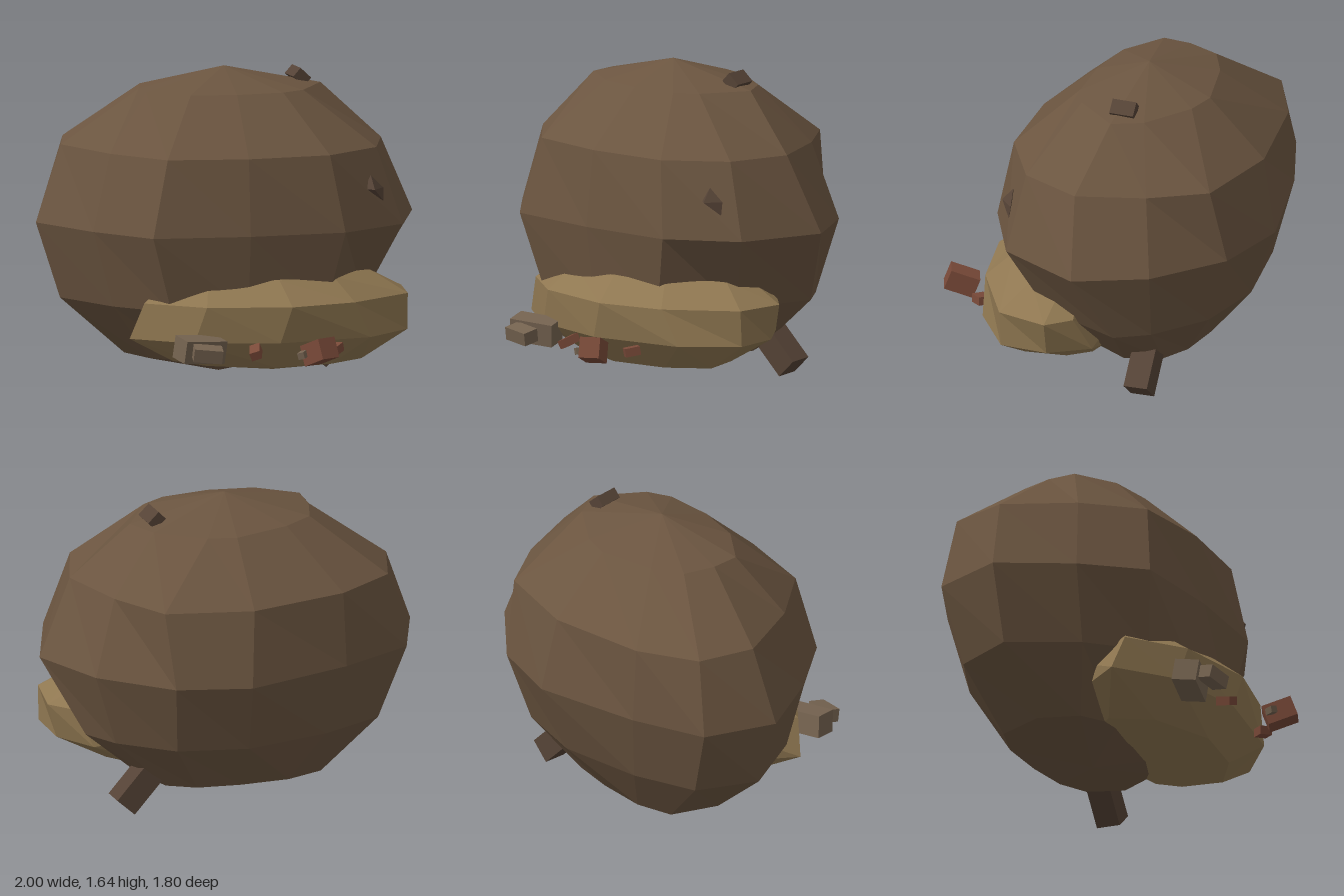
import * as THREE from 'three';

const material = (color) => new THREE.MeshStandardMaterial({ color, flatShading: true, roughness: 1 });
const bark = material(0x6b5540);
const darkStone = material(0x554336);
const tan = material(0x8f7751);
const clay = material(0x7a4a39);
const greyBrown = material(0x756350);

// Faceted rock from two apexes and stacked rings of [x, z] corners, top to bottom
function rock(name, top, rings, bottom, mat) {
  const pos = [];
  const tri = (...pts) => pts.forEach((p) => pos.push(...p));
  const loops = rings.map(([y, pts]) => pts.map(([x, z]) => [x, y, z]));
  const n = loops[0].length;
  const last = loops[loops.length - 1];
  for (let j = 0; j < n; j++) {
    const k = (j + 1) % n;
    tri(top, loops[0][k], loops[0][j]);
    for (let i = 0; i < loops.length - 1; i++) {
      const [u, d] = [loops[i], loops[i + 1]];
      tri(u[j], u[k], d[j]);
      tri(u[k], d[k], d[j]);
    }
    tri(last[j], last[k], bottom);
  }
  const geo = new THREE.BufferGeometry();
  geo.setAttribute('position', new THREE.Float32BufferAttribute(pos, 3));
  geo.computeVertexNormals();
  const mesh = new THREE.Mesh(geo, mat);
  mesh.name = name;
  return mesh;
}

// Tilted loose block
function block(name, size, position, rotation, mat) {
  const mesh = new THREE.Mesh(new THREE.BoxGeometry(...size), mat);
  mesh.position.set(...position);
  mesh.rotation.set(...rotation);
  mesh.name = name;
  return mesh;
}

export function createModel() {
  const group = new THREE.Group();
  group.name = 'boulder';

  // Large twelve-sided boulder
  group.add(rock('boulderBody', [-0.01, 1.63, -0.14], [
    [1.52, [[0.51, -0.18], [0.37, 0.06], [0.25, 0.13], [0, 0.16], [-0.24, 0.13], [-0.45, 0],
      [-0.46, -0.15], [-0.42, -0.32], [-0.27, -0.42], [0.02, -0.51], [0.17, -0.48], [0.42, -0.33]]],
    [1.23, [[0.82, -0.13], [0.73, 0.2], [0.44, 0.42], [0, 0.47], [-0.42, 0.42], [-0.67, 0.15],
      [-0.86, -0.21], [-0.79, -0.51], [-0.5, -0.7], [0.01, -0.82], [0.47, -0.74], [0.67, -0.47]]],
    [0.83, [[1, -0.2], [0.86, 0.25], [0.51, 0.48], [0, 0.52], [-0.51, 0.49], [-0.77, 0.2],
      [-1, -0.17], [-0.88, -0.55], [-0.51, -0.73], [0.04, -0.9], [0.43, -0.82], [0.79, -0.55]]],
    [0.43, [[0.79, -0.34], [0.68, 0.1], [0.42, 0.42], [0, 0.46], [-0.4, 0.42], [-0.66, 0.17],
      [-0.87, -0.18], [-0.74, -0.5], [-0.42, -0.65], [0.02, -0.75], [0.39, -0.69], [0.67, -0.5]]],
    [0.13, [[0.47, -0.24], [0.38, 0], [0.24, 0.13], [0, 0.16], [-0.25, 0.14], [-0.44, 0.03],
      [-0.53, -0.18], [-0.45, -0.43], [-0.26, -0.5], [0, -0.51], [0.23, -0.49], [0.38, -0.42]]],
  ], [-0.04, 0.03, -0.13], bark));

  // Flatter tan rock pushed out at the front base
  group.add(rock('baseLedge', [0.2, 0.64, 0.15], [
    [0.59, [[0.69, 0.19], [0.46, 0.41], [0.16, 0.48], [-0.2, 0.4], [-0.38, 0.28],
      [-0.3, 0], [0.1, -0.1], [0.5, -0.1], [0.62, -0.06], [0.67, 0.02]]],
    [0.47, [[0.88, 0.28], [0.55, 0.53], [0.2, 0.63], [-0.24, 0.56], [-0.53, 0.35],
      [-0.4, -0.05], [0.1, -0.15], [0.5, -0.12], [0.78, -0.1], [0.9, 0.01]]],
    [0.28, [[0.88, 0.27], [0.64, 0.5], [0.14, 0.61], [-0.3, 0.53], [-0.6, 0.31],
      [-0.42, 0], [0.1, -0.12], [0.5, -0.14], [0.7, -0.17], [0.85, 0.02]]],
    [0.13, [[0.64, 0.25], [0.45, 0.4], [0.14, 0.46], [-0.2, 0.34], [-0.34, 0.14],
      [-0.26, 0.02], [0.1, -0.08], [0.36, -0.08], [0.48, -0.06], [0.58, 0.04]]],
  ], [0.18, 0.08, 0.2], tan));

  // Stones stuck in the surface
  group.add(block('topStone', [0.08, 0.06, 0.13], [0.395, 1.555, -0.2], [0, 0.15, -0.75], darkStone));
  group.add(block('lowerSideStone', [0.13, 0.24, 0.13], [0.53, 0.13, -0.385], [0.05, 0.1, 0.75], darkStone));
  group.add(rock('sideSpike', [0.68, 1.1, 0.3], [
    [1.03, [[0.75, 0.28], [0.69, 0.36], [0.64, 0.32]]],
  ], [0.75, 0.96, 0.29], darkStone));

  // Loose rubble in front
  const rubble = [
    ['largeChip', [0.24, 0.12, 0.13], [-0.285, 0.26, 0.6], [0.15, 0.3, -0.12], greyBrown],
    ['flatChip', [0.15, 0.07, 0.09], [-0.27, 0.255, 0.725], [0.2, -0.1, -0.08], greyBrown],
    ['smallClayChip', [0.055, 0.045, 0.1], [0, 0.245, 0.65], [0.3, -0.2, 0.4], clay],
    ['largeClayChip', [0.11, 0.11, 0.16], [0.31, 0.26, 0.79], [-0.4, 0.45, 0.2], clay],
    ['sideClayChip', [0.065, 0.045, 0.08], [0.425, 0.245, 0.62], [0.2, -0.6, 0.2], clay],
    ['tinyChip', [0.035, 0.035, 0.06], [0.22, 0.245, 0.79], [0.1, -0.5, 0.3], greyBrown],
  ];
  rubble.forEach((r) => group.add(block(...r)));

  return group;
}
